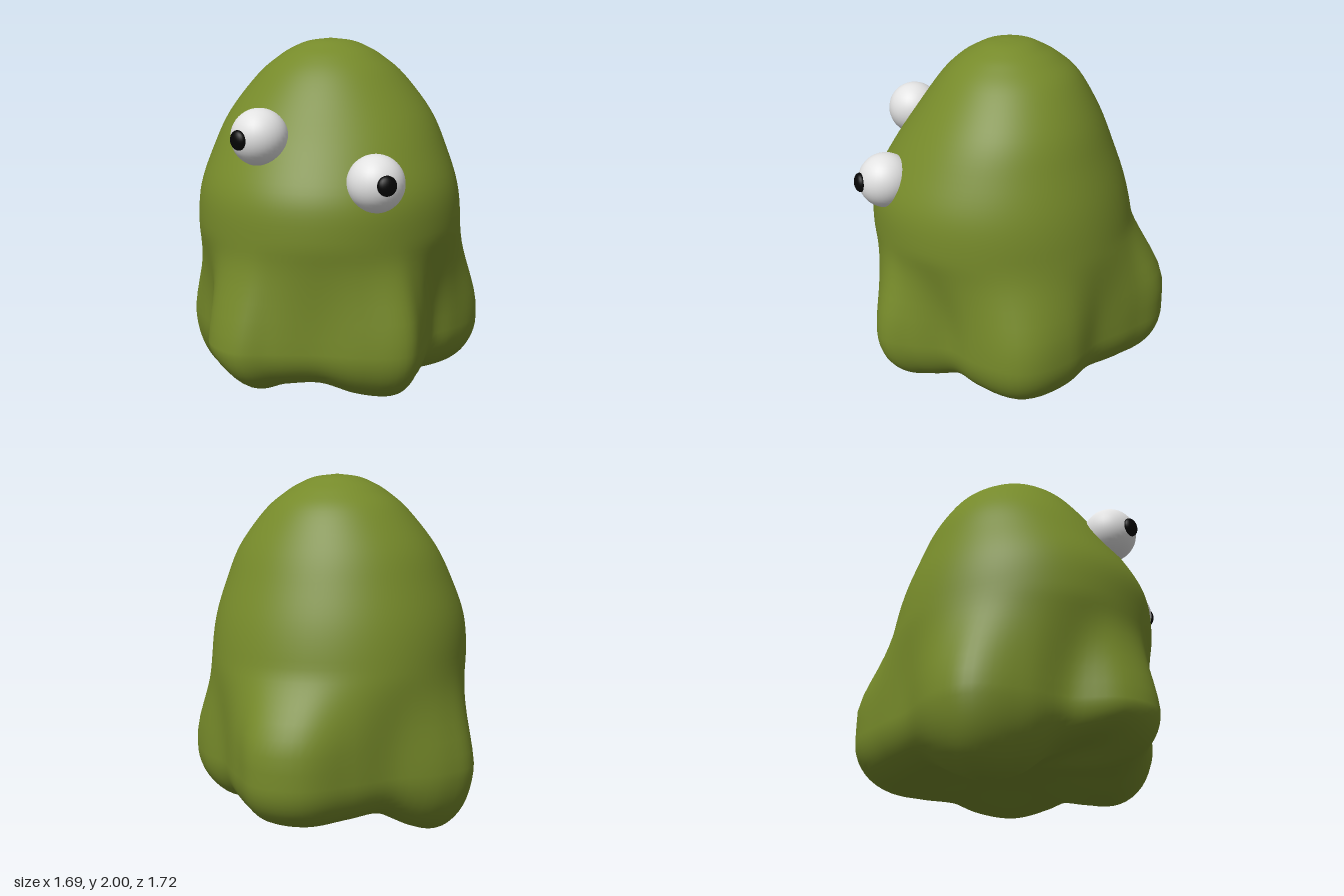
import * as THREE from 'three';
import { mergeVertices } from 'three/addons/utils/BufferGeometryUtils.js';

const { lerp, smoothstep } = THREE.MathUtils;
const SEG = 120;
const HEM = 0.4; // height where the skirt starts to curl under
const CURL_IN = 0.69; // how far in the curl reaches its lowest point

// Body profile: height, half width, front z, back z
const PROFILE = [
  [2, 0, 0.04, 0.04], [1.985, 0.12, 0.15, -0.08], [1.95, 0.21, 0.23, -0.16], [1.9, 0.292, 0.312, -0.245],
  [1.8, 0.41, 0.415, -0.355], [1.6, 0.565, 0.56, -0.47], [1.4, 0.655, 0.695, -0.55], [1.2, 0.72, 0.8, -0.62],
  [1, 0.74, 0.82, -0.665], [0.8, 0.73, 0.8, -0.69], [HEM, 0.7, 0.77, -0.7],
];

// Skirt lobes and grooves: angle from the front towards +x, radius, lowest height,
// height at which the lobe stands fully out
const SKIRT = [
  [-41, 0.865, 0.22, 0.38], [-26, 0.91, 0.14, 0.36], [-14, 0.83, 0.17, 0.37], [3, 0.78, 0.18, 0.38],
  [20, 0.84, 0.13, 0.4], [35, 0.895, 0.11, 0.43], [46, 0.8, 0.13, 0.45], [60, 0.7, 0.155, 0.45],
  [75, 0.757, 0.14, 0.45], [95, 0.845, 0.12, 0.45], [115, 0.774, 0.13, 0.45], [134, 0.69, 0.15, 0.5],
  [155, 0.76, 0.14, 0.54], [170, 0.86, 0.135, 0.54], [187, 0.855, 0.135, 0.54], [206, 0.74, 0.15, 0.54],
  [227, 0.69, 0.15, 0.5], [249, 0.8, 0.05, 0.4], [264, 0.85, 0.003, 0.36], [283, 0.765, 0.05, 0.36],
  [302, 0.71, 0.17, 0.38],
];

function bodyGeometry() {
  const spline = points => new THREE.CatmullRomCurve3(points, false, 'catmullrom');
  const widths = spline(PROFILE.map(p => new THREE.Vector3(p[1], p[0], 0)));
  const depths = spline(PROFILE.map(p => new THREE.Vector3(p[2], p[0], p[3])));

  // Ring of skirt points, padded at both ends so that it closes smoothly
  const N = SKIRT.length;
  const ring = [];
  for (let i = -2; i <= N + 2; i++) {
    const [angle, ...rest] = SKIRT[(i + N) % N];
    ring.push([THREE.MathUtils.degToRad(angle + 360 * Math.floor(i / N)), ...rest]);
  }
  const shape = spline(ring.map(p => new THREE.Vector3(p[0], p[1], p[2])));
  const rise = spline(ring.map(p => new THREE.Vector3(p[0], p[3], 0)));
  const columns = [];
  for (let j = 0; j < SEG; j++) {
    const t = (2 + j / SEG * N) / (N + 4);
    const s = shape.getPoint(t);
    columns.push({ a: s.x, r: s.y, low: s.z, full: rise.getPoint(t).y });
  }

  // Point on the outer wall, blending the oval body into the lobed skirt
  function wall(t, { a, r, full }) {
    const w = widths.getPoint(t), d = depths.getPoint(t);
    const k = 1 - smoothstep(w.y, full, 1);
    const x = w.x * Math.sin(a);
    const z = (d.x + d.z) / 2 + (d.x - d.z) / 2 * Math.cos(a);
    return new THREE.Vector3(lerp(x, r * Math.sin(a), k), w.y, lerp(z, r * Math.cos(a), k));
  }

  const WALL = 50, CURL = 12, UNDER = 12, rows = WALL + CURL + UNDER;
  const positions = [], index = [];
  for (let i = 0; i <= rows; i++) {
    for (let j = 0; j < SEG; j++) {
      const column = columns[j];
      const p = wall(Math.min(i / WALL, 1), column);
      if (i > WALL) {
        let f;
        if (i <= WALL + CURL) { // rounded hem
          const c = (i - WALL) / CURL * Math.PI / 2;
          f = lerp(CURL_IN, 1, Math.cos(c));
          p.y = HEM - (HEM - column.low) * Math.sin(c);
        } else { // shallow hollow underside
          const u = (i - WALL - CURL) / UNDER;
          f = CURL_IN * (1 - u);
          p.y = lerp(column.low, 0.2, smoothstep(u, 0, 0.8));
        }
        p.x *= f;
        p.z *= f;
      }
      positions.push(p.x, p.y, p.z);
      if (i < rows) {
        const A = i * SEG + j, B = i * SEG + (j + 1) % SEG, C = A + SEG, D = B + SEG;
        if (i > 0) index.push(A, C, B);
        if (i < rows - 1) index.push(B, C, D);
      }
    }
  }
  const g = new THREE.BufferGeometry();
  g.setAttribute('position', new THREE.Float32BufferAttribute(positions, 3));
  g.setIndex(index);
  const welded = mergeVertices(g, 1e-5);
  welded.computeVertexNormals();
  return welded;
}

export function createModel() {
  const material = (name, color) => {
    const m = new THREE.MeshStandardMaterial({ color });
    m.name = name;
    return m;
  };
  const green = material('slime green', 0x768a2a);
  const white = material('eye white', 0xe2e2e2);
  const black = material('pupil black', 0x050505);

  const model = new THREE.Group();
  model.name = 'blobCreature';
  const body = new THREE.Mesh(bodyGeometry(), green);
  body.name = 'body';
  model.add(body);

  // Eyeball with a flattened pupil on the side it looks to
  function addEye(name, centre, look) {
    const eye = new THREE.Group();
    eye.name = name;
    eye.position.set(...centre);
    const ball = new THREE.Mesh(new THREE.SphereGeometry(0.15, 32, 24), white);
    ball.name = 'eyeball';
    const dir = new THREE.Vector3(...look).normalize();
    const pupil = new THREE.Mesh(new THREE.SphereGeometry(0.052, 24, 16), black);
    pupil.name = 'pupil';
    pupil.scale.z = 0.6;
    pupil.position.copy(dir).multiplyScalar(0.145);
    pupil.quaternion.setFromUnitVectors(new THREE.Vector3(0, 0, 1), dir);
    eye.add(ball, pupil);
    model.add(eye);
  }
  addEye('rightEye', [-0.285, 1.505, 0.61], [-0.085, -0.005, 0.12]);
  addEye('leftEye', [0.327, 1.29, 0.69], [0.07, 0.01, 0.13]);
  return model;
}
